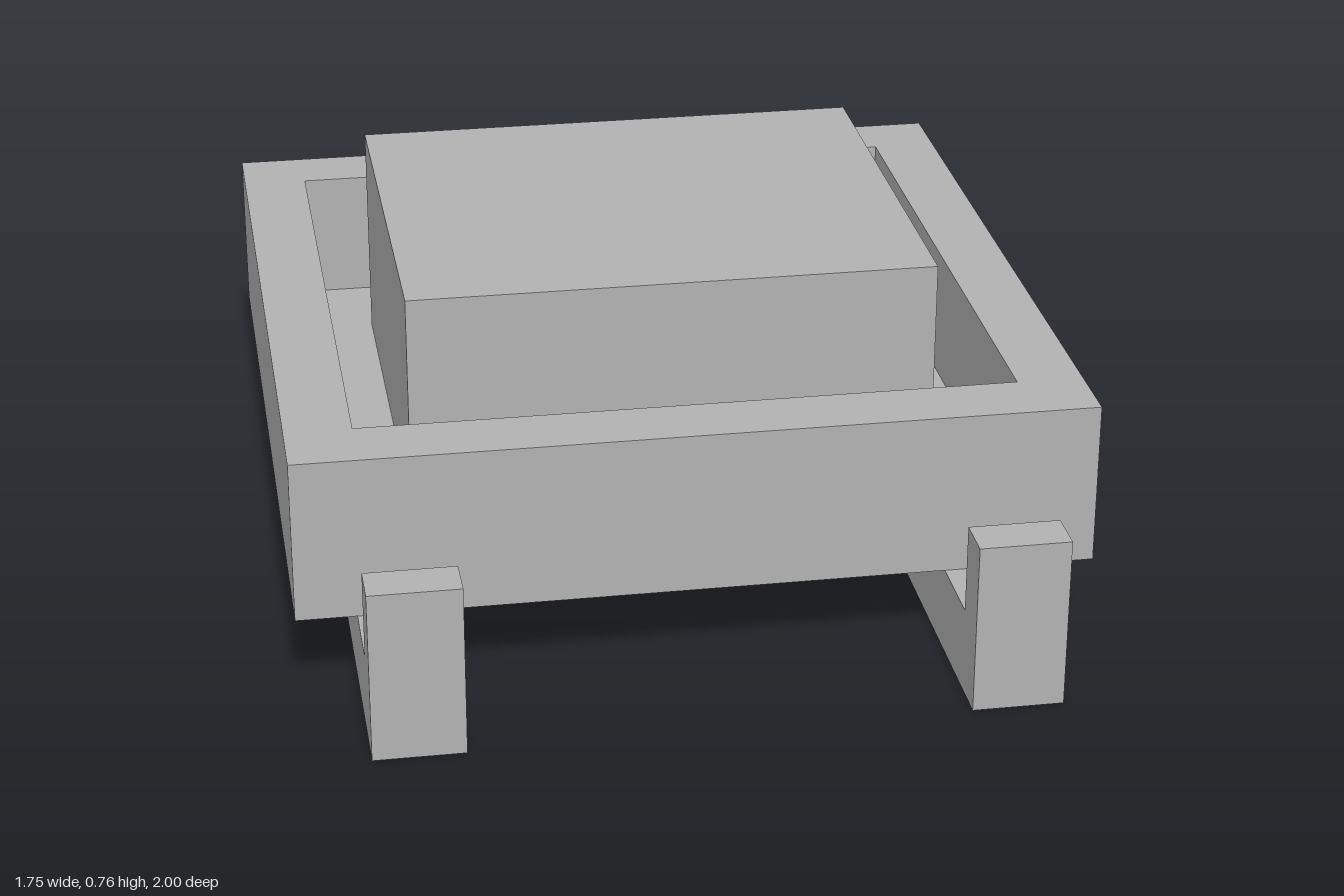
import * as THREE from 'three';

export function createModel() {
  const group = new THREE.Group();
  const grey = new THREE.MeshStandardMaterial({ color: 0xb2b2b2 });
  grey.name = 'plain grey';

  const add = (name, geometry) => {
    const mesh = new THREE.Mesh(geometry, grey);
    mesh.name = name;
    group.add(mesh);
    return mesh;
  };
  // Box given by its minimum and maximum corners
  const box = (name, x0, x1, y0, y1, z0, z1) =>
    add(name, new THREE.BoxGeometry(x1 - x0, y1 - y0, z1 - z0))
      .position.set((x0 + x1) / 2, (y0 + y1) / 2, (z0 + z1) / 2);
  const rectangle = (path, x, z0, z1) => {
    path.moveTo(-x, -z1);
    path.lineTo(x, -z1);
    path.lineTo(x, -z0);
    path.lineTo(-x, -z0);
    path.closePath();
    return path;
  };

  // Square tray: a walled rim around a recessed floor
  const rim = rectangle(new THREE.Shape(), 0.875, -1, 0.72);
  rim.holes.push(rectangle(new THREE.Path(), 0.727, -0.853, 0.567));
  const rimGeometry = new THREE.ExtrudeGeometry(rim, { depth: 0.37, bevelEnabled: false });
  rimGeometry.rotateX(-Math.PI / 2).translate(0, 0.19, 0);
  add('trayRim', rimGeometry);
  box('trayFloor', -0.727, 0.727, 0.19, 0.26, -0.853, 0.567);

  // Raised block standing in the recess
  box('centreBlock', -0.59, 0.59, 0.26, 0.76, -0.63, 0.37);

  // L-shaped fork arms with upturned tips
  const arm = new THREE.Shape([
    [-1, 0], [0.39, 0], [0.39, 0.19], [-0.9, 0.19], [-0.9, 0.39], [-1, 0.39],
  ].map(([u, y]) => new THREE.Vector2(u, y)));
  const armGeometry = new THREE.ExtrudeGeometry(arm, { depth: 0.2, bevelEnabled: false });
  armGeometry.translate(0, 0, -0.1).rotateY(Math.PI / 2);
  for (const side of [-1, 1]) {
    add(side > 0 ? 'leftArm' : 'rightArm', armGeometry).position.x = side * 0.642;
  }
  return group;
}
